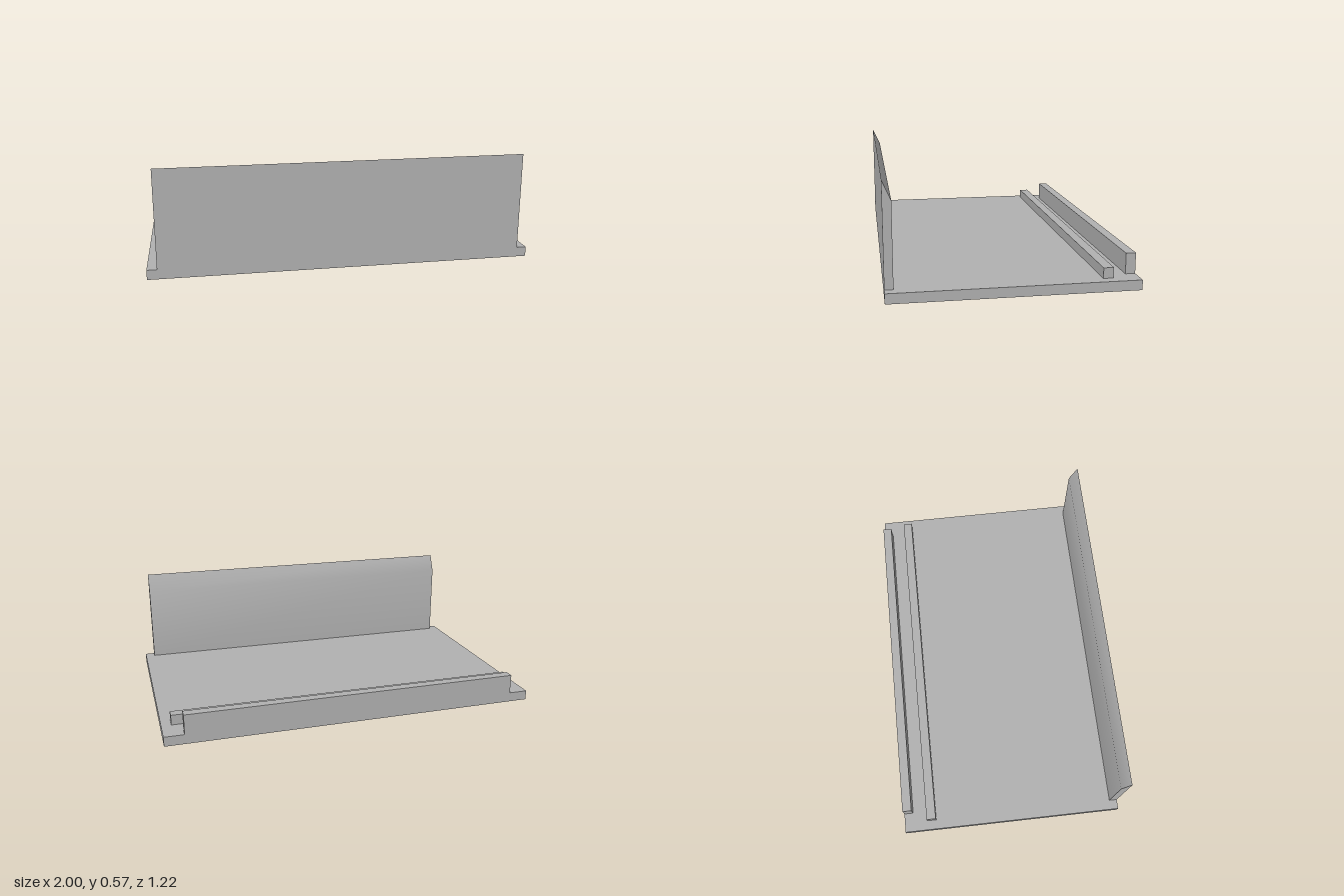
import * as THREE from 'three';
import { toCreasedNormals } from 'three/addons/utils/BufferGeometryUtils.js';

export function createModel() {
  const group = new THREE.Group();
  group.name = 'tray';
  const grey = new THREE.MeshStandardMaterial({ color: 0xb0b0b0 });
  grey.name = 'grey';

  const add = (name, geometry) => {
    const mesh = new THREE.Mesh(geometry, grey);
    mesh.name = name;
    group.add(mesh);
  };

  // Box centred on x, spanning the given y and z ranges
  const bar = (name, width, y0, y1, z0, z1) =>
    add(name, new THREE.BoxGeometry(width, y1 - y0, z1 - z0)
      .translate(0, (y0 + y1) / 2, (z0 + z1) / 2));

  const depth = 0.612, floor = 0.051;
  bar('basePlate', 2, 0, floor, -depth, depth);
  bar('innerRail', 1.898, floor, 0.104, -0.484, -0.433);
  bar('backRail', 1.794, floor, 0.156, -depth, -0.562);

  // Front wall: upright profile with a bevel on its inner top edge
  const wallWidth = 1.898;
  const profile = new THREE.Shape([
    [0.569, floor], [depth, floor], [depth, 0.566], [0.569, 0.47],
  ].map(([z, y]) => new THREE.Vector2(z, y)));
  const wall = new THREE.ExtrudeGeometry(profile, { depth: wallWidth, bevelEnabled: false })
    .translate(0, 0, -wallWidth / 2)
    .rotateY(-Math.PI / 2);
  // The bevel blends softly into the inner face; other edges stay sharp
  add('frontWall', toCreasedNormals(wall, Math.PI / 6));

  return group;
}
